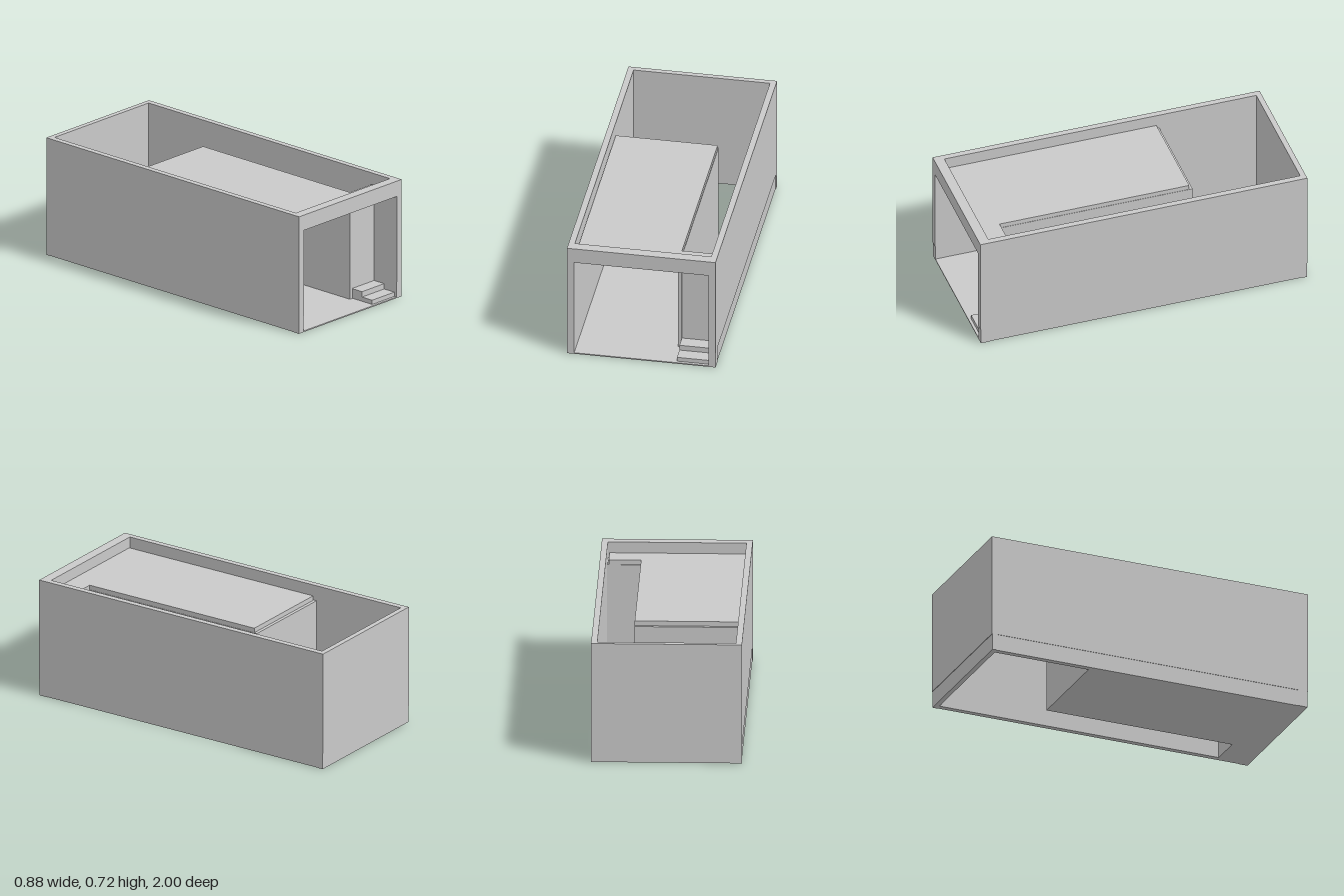
import * as THREE from 'three';

export function createModel() {
  const group = new THREE.Group();
  const grey = new THREE.MeshStandardMaterial({ color: 0xc9c9c9 });
  grey.name = 'plain grey';

  function add(name, geometry) {
    const mesh = new THREE.Mesh(geometry, grey);
    mesh.name = name;
    group.add(mesh);
  }

  // Box given by its limits on each axis
  function box(name, [x0, x1], [y0, y1], [z0, z1]) {
    const g = new THREE.BoxGeometry(x1 - x0, y1 - y0, z1 - z0);
    g.translate((x0 + x1) / 2, (y0 + y1) / 2, (z0 + z1) / 2);
    add(name, g);
  }

  // Horizontal plate from an outline of [x, z] points
  function plate(name, outline, y0, y1) {
    const shape = new THREE.Shape(outline.map(([x, z]) => new THREE.Vector2(x, -z)));
    const g = new THREE.ExtrudeGeometry(shape, { depth: y1 - y0, bevelEnabled: false });
    g.rotateX(-Math.PI / 2);
    g.translate(0, y0, 0);
    add(name, g);
  }

  const W = 0.438, H = 0.722, IN = 0.402, JAMB = 0.396;
  const BACK = -0.968, FRONT = 0.94, DOOR = 0.628, BASE = 0.1, INSET = 0.003;

  // Outer shell: walls above a slightly recessed base, with a wide front opening
  box('backWall', [-W, W], [BASE, H], [-1, BACK]);
  box('backBase', [-W, W], [0, BASE], [-1 + INSET, BACK]);
  box('frontLintel', [-W, W], [DOOR, H], [FRONT, 1]);
  for (const s of [-1, 1]) {
    const span = (a, b) => [s * a, s * b].sort((p, q) => p - q);
    box('sideWall', span(IN, W), [BASE, H], [BACK, FRONT]);
    box('sideBase', span(IN, W - INSET), [0, BASE], [BACK, FRONT]);
    box('frontPost', span(JAMB, W), [BASE, DOOR], [FRONT, 1]);
    box('frontPostBase', span(JAMB, W), [0, BASE], [FRONT, 1 - INSET]);
  }

  // Thin floor with a strip beside the entry
  const inner = 0.207, partitionBack = -0.375, entryBack = 0.8;
  plate('floor', [
    [-IN, partitionBack], [inner, partitionBack], [inner, entryBack],
    [IN, entryBack], [IN, FRONT], [JAMB, FRONT], [JAMB, 0.997],
    [-JAMB, 0.997], [-JAMB, FRONT], [-IN, FRONT],
  ], 0, 0.007);

  // Inner room walls
  const wallY = [0.007, DOOR];
  box('leftLining', [-IN, -JAMB], wallY, [partitionBack, FRONT]);
  box('rightLining', [JAMB, IN], wallY, [0.82, FRONT]);
  box('backPartition', [-JAMB, inner], wallY, [partitionBack, -0.355]);
  box('sidePartition', [0.184, inner], wallY, [-0.355, 0.825]);
  box('entryWall', [inner, IN], wallY, [entryBack, 0.82]);

  // Ceiling slab covering the room and the entry
  plate('ceiling', [
    [-JAMB, -0.355], [0.205, -0.355], [0.205, 0.805],
    [0.392, 0.805], [0.392, FRONT], [-JAMB, FRONT],
  ], DOOR, 0.656);

  // Two entry steps
  box('lowerStep', [inner, JAMB], [0.007, 0.033], [0.82, 0.98]);
  box('upperStep', [inner, JAMB], [0.033, 0.066], [0.82, 0.9]);

  return group;
}
